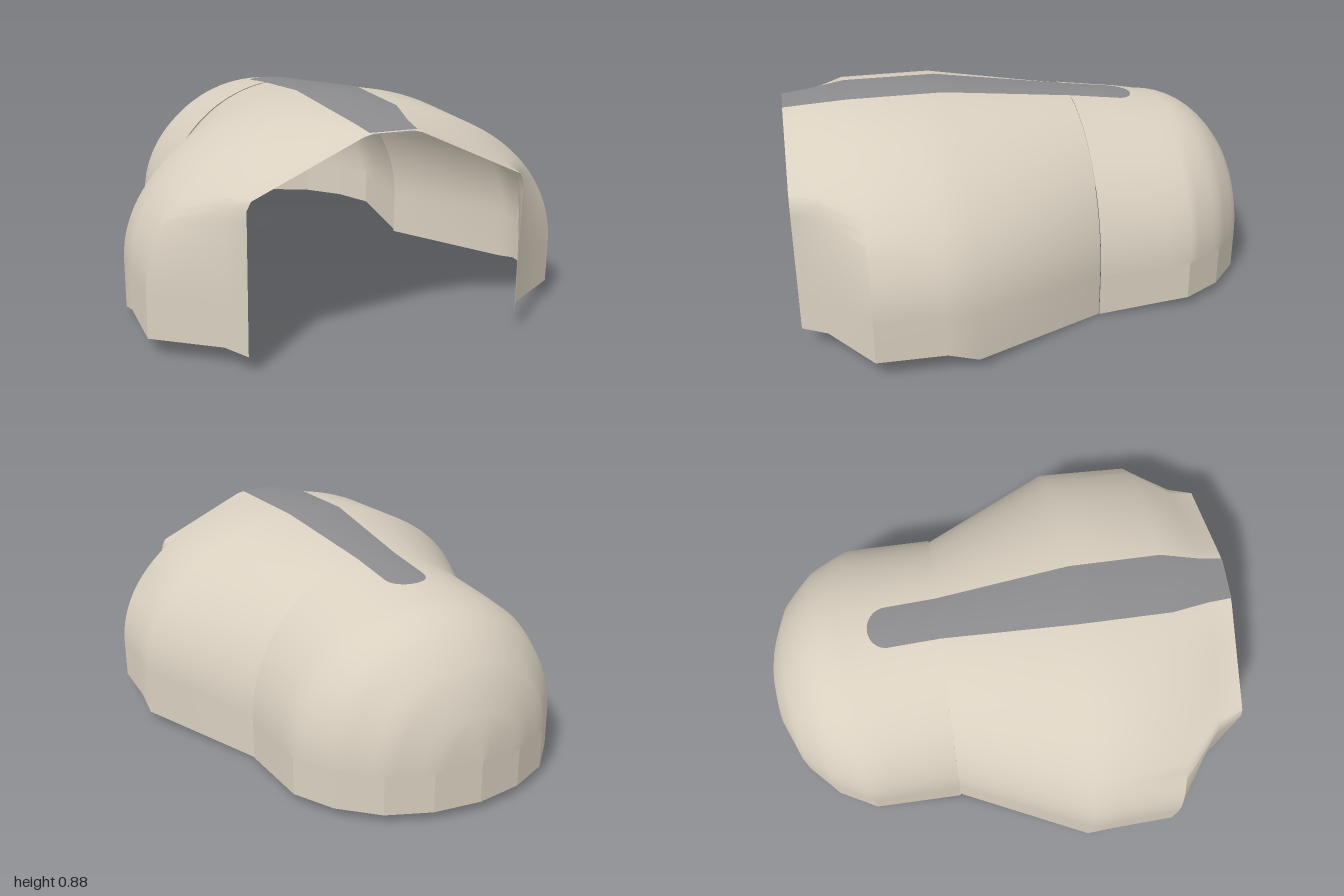
import * as THREE from 'three';
import { toCreasedNormals } from 'three/addons/utils/BufferGeometryUtils.js';

const ARCH = 48;
const lerp = THREE.MathUtils.lerp;

// Surface through a list of equally long cross-sections, front to back
function loft(sections) {
  const n = sections[0].length, index = [];
  for (let i = 0; i < sections.length - 1; i++) {
    for (let j = 0; j < n - 1; j++) {
      const a = i * n + j, b = a + n;
      index.push(a, b + 1, b, a, a + 1, b + 1);
    }
  }
  const g = new THREE.BufferGeometry();
  g.setAttribute('position', new THREE.Float32BufferAttribute(sections.flat(2), 3));
  g.setIndex(index);
  g.computeVertexNormals();
  return g;
}

// Half-ellipse arch; "lip" blends it towards the angular front opening
function archPoints({ z, w, spring, top, lip = 0 }) {
  const pts = [];
  for (let j = 0; j <= ARCH; j++) {
    const t = Math.PI * j / ARCH;
    const deg = Math.min(t, Math.PI - t) * 180 / Math.PI;
    const side = j <= ARCH / 2 ? 1 : -1;
    const k = THREE.MathUtils.clamp((deg - 32) / 49, 0, 1);
    let lx = lerp(0.53, 0.09, k);
    if (deg > 81) lx = 0.09 * (90 - deg) / 9;
    const ly = deg < 32 ? lerp(0.24, 0.635, deg / 32) : lerp(0.635, 0.84, k);
    pts.push([
      lerp(w * Math.cos(t), side * lx, lip),
      lerp(spring + (top - spring) * Math.sin(t), ly, lip), z]);
  }
  return pts;
}

// Height of the shell near the centre line
function crownHeight({ w, spring, top, lip = 0 }, x) {
  const y = spring + (top - spring) * Math.sqrt(1 - (x / w) ** 2);
  return lerp(y, 0.84, lip);
}

export function createModel() {
  const group = new THREE.Group();
  const shell = new THREE.MeshStandardMaterial({ color: 0xd9d0c0, side: THREE.DoubleSide });
  const skirtMat = shell.clone();
  skirtMat.flatShading = true;
  const grey = new THREE.MeshStandardMaterial({ color: 0x8c8c8e, side: THREE.DoubleSide });
  const add = (name, geometry, material) => {
    const m = new THREE.Mesh(geometry, material);
    m.name = name;
    group.add(m);
  };

  // Wide front body, arch and side walls in one surface
  const body = [
    { z: 1, w: 0.835, spring: 0.24, top: 0.875, base: 0.075, lip: 1 },
    { z: 0.9, w: 0.835, spring: 0.24, top: 0.89, base: 0.075, lip: 0.8 },
    { z: 0.74, w: 0.835, spring: 0.24, top: 0.875, base: 0.075 },
    { z: 0.47, w: 0.846, spring: 0.24, top: 0.875, base: 0.075 },
    { z: 0.35, w: 0.85, spring: 0.24, top: 0.875, base: 0.04 },
    { z: -0.21, w: 0.58, spring: 0.18, top: 0.805, base: 0 },
  ];
  const bodySections = body.map((s) => {
    const pts = archPoints(s);
    const foot = (p) => [p[0], s.base, s.z];
    return [foot(pts[0]), ...pts, foot(pts[ARCH])];
  });
  add('frontBody', toCreasedNormals(loft(bodySections), 0.65), shell);

  // Rear hood: a short tunnel closed by a rounded end
  const hood = [
    { z: -0.21, w: 0.588, spring: 0.18, top: 0.808, base: 0.003 },
    { z: -0.5, w: 0.594, spring: 0.195, top: 0.765, base: 0.028 },
    { z: -0.6, w: 0.595, spring: 0.2, top: 0.745, base: 0.035 },
  ];
  const outline = [[0.595, -0.6], [0.508, -0.767], [0.37, -0.9], [0.196, -0.974], [0, -1]];
  for (let i = 0; i < outline.length - 1; i++) {
    for (let k = 1; k <= 4; k++) {
      const w = lerp(outline[i][0], outline[i + 1][0], k / 4);
      const z = lerp(outline[i][1], outline[i + 1][1], k / 4);
      const rise = 0.545 * Math.sqrt(Math.max(0, 1 - ((z + 0.6) / 0.4) ** 2));
      hood.push({ z, w, spring: 0.2, top: 0.2 + rise, base: 0.035 });
    }
  }
  add('rearHood', loft(hood.map(archPoints)), shell);

  // Faceted skirt along both sides and around the rear
  for (const side of [1, -1]) {
    const rows = hood.map((s) => {
      const row = [[side * s.w, s.base, s.z], [side * s.w, s.spring, s.z]];
      return side > 0 ? row : row.reverse();
    });
    add(side > 0 ? 'leftSkirt' : 'rightSkirt', loft(rows), skirtMat);
  }

  // Centre stripe, seen on the outside and the inside of the shell
  const halfWidths = [0.09, 0.1, 0.13, 0.13, 0.13, 0.09];
  const stripe = body.map((s, i) => ({ ...s, half: halfWidths[i] }));
  for (let k = 0; k <= 8; k++) {
    const a = Math.PI / 2 * k / 8;
    const z = -0.43 - 0.08 * Math.sin(a);
    const f = (z + 0.21) / -0.29;
    stripe.push({
      z, w: 0.593, spring: lerp(0.18, 0.195, f), top: lerp(0.808, 0.765, f),
      half: 0.09 * Math.cos(a),
    });
  }
  for (const [name, offset] of [['outerStripe', 0.004], ['innerStripe', -0.005]]) {
    const rows = stripe.map((s) => Array.from({ length: 9 }, (_, j) => {
      const x = s.half * (1 - j / 4);
      return [x, crownHeight(s, x) + offset, s.z];
    }));
    add(name, loft(rows), grey);
  }
  return group;
}
